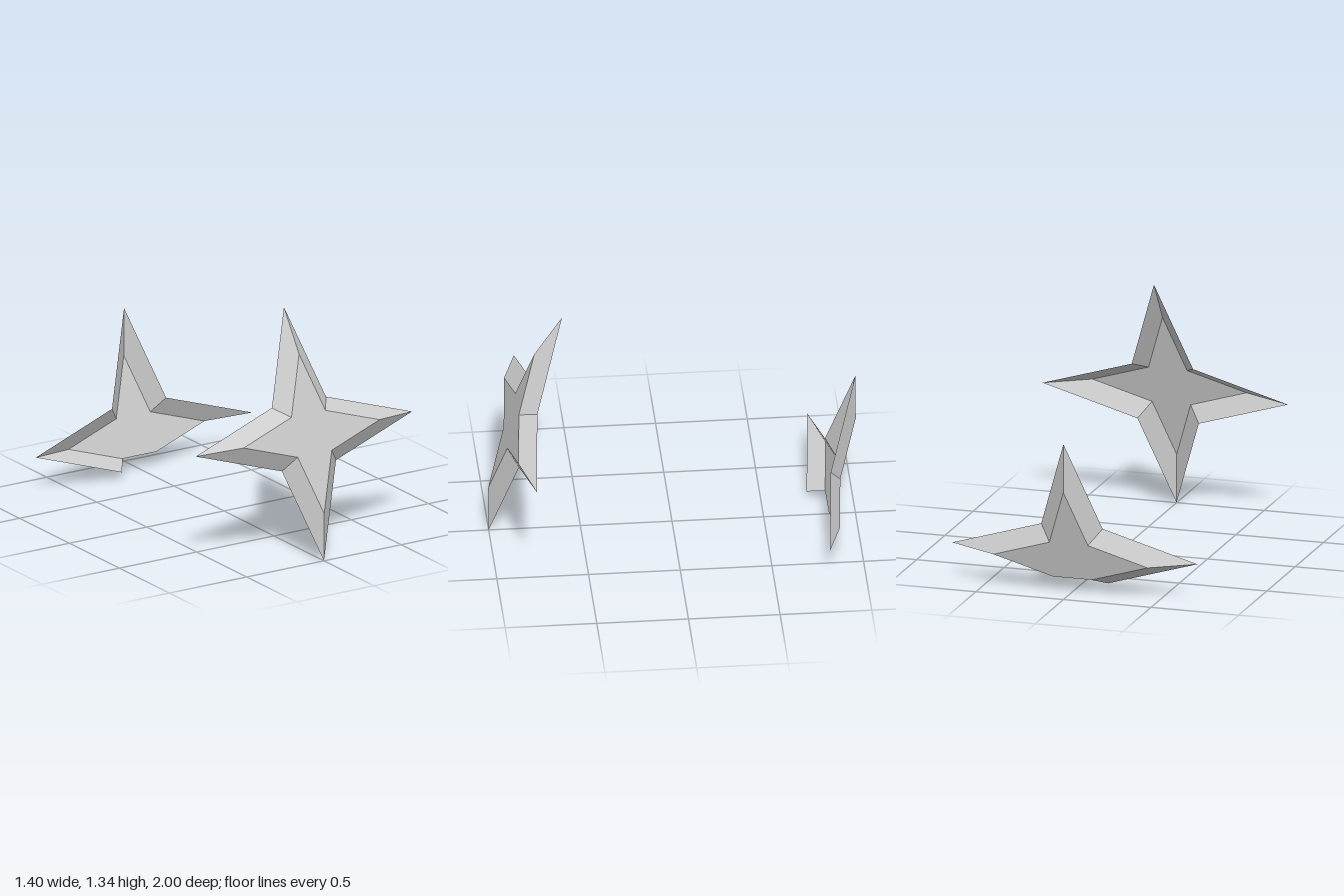
import * as THREE from 'three';

const grey = new THREE.MeshStandardMaterial({ color: 0xcccccc, side: THREE.DoubleSide });
grey.name = 'grey';

// Four-pointed outline, counter-clockwise from the top tip: tips are even, notches odd.
function starPoints(tip) {
  return Array.from({ length: 8 }, (_, i) => {
    const a = Math.PI / 2 + (i * Math.PI) / 4;
    const r = i % 2 ? tip * 0.25 * Math.SQRT2 : tip;
    return new THREE.Vector2(r * Math.cos(a), r * Math.sin(a));
  });
}

// Open shell: a raised star face with sloping sides down to a larger star rim.
function starShell(name, depth, missingSides = [], missingTip = -1) {
  const rim = starPoints(0.7);
  const top = starPoints(0.44);
  const group = new THREE.Group();
  group.name = name;

  // Raised flat face
  const faceGeo = new THREE.ShapeGeometry(new THREE.Shape(top.filter((_, i) => i !== missingTip)));
  if (depth < 0) faceGeo.index.array.reverse();
  faceGeo.translate(0, 0, depth);
  const flat = faceGeo.toNonIndexed();
  flat.computeVertexNormals();
  const face = new THREE.Mesh(flat, grey);
  face.name = name + 'Face';

  // Sloping sides, one flat quad per outline edge
  const pos = [];
  for (let i = 0; i < 8; i++) {
    if (missingSides.includes(i)) continue;
    const j = (i + 1) % 8;
    const a = [rim[i].x, rim[i].y, 0], b = [rim[j].x, rim[j].y, 0];
    const c = [top[j].x, top[j].y, depth], d = [top[i].x, top[i].y, depth];
    pos.push(...(depth > 0 ? [a, b, c, a, c, d] : [a, c, b, a, d, c]).flat());
  }
  const sideGeo = new THREE.BufferGeometry();
  sideGeo.setAttribute('position', new THREE.Float32BufferAttribute(pos, 3));
  sideGeo.computeVertexNormals();
  const sides = new THREE.Mesh(sideGeo, grey);
  sides.name = name + 'Sides';

  group.add(face, sides);
  group.rotation.x = -0.29;
  return group;
}

export function createModel() {
  const model = new THREE.Group();
  model.name = 'starPair';

  // Complete star at the front, raised towards +z
  const front = starShell('frontStar', 0.08);
  front.position.set(0, 0.673, 0.8);

  // Lower star at the back, raised towards -z, without its bottom tip and three sides
  const back = starShell('backStar', -0.08, [3, 4, 5], 4);
  back.position.set(0, 0.209, -0.8);

  model.add(front, back);
  return model;
}
